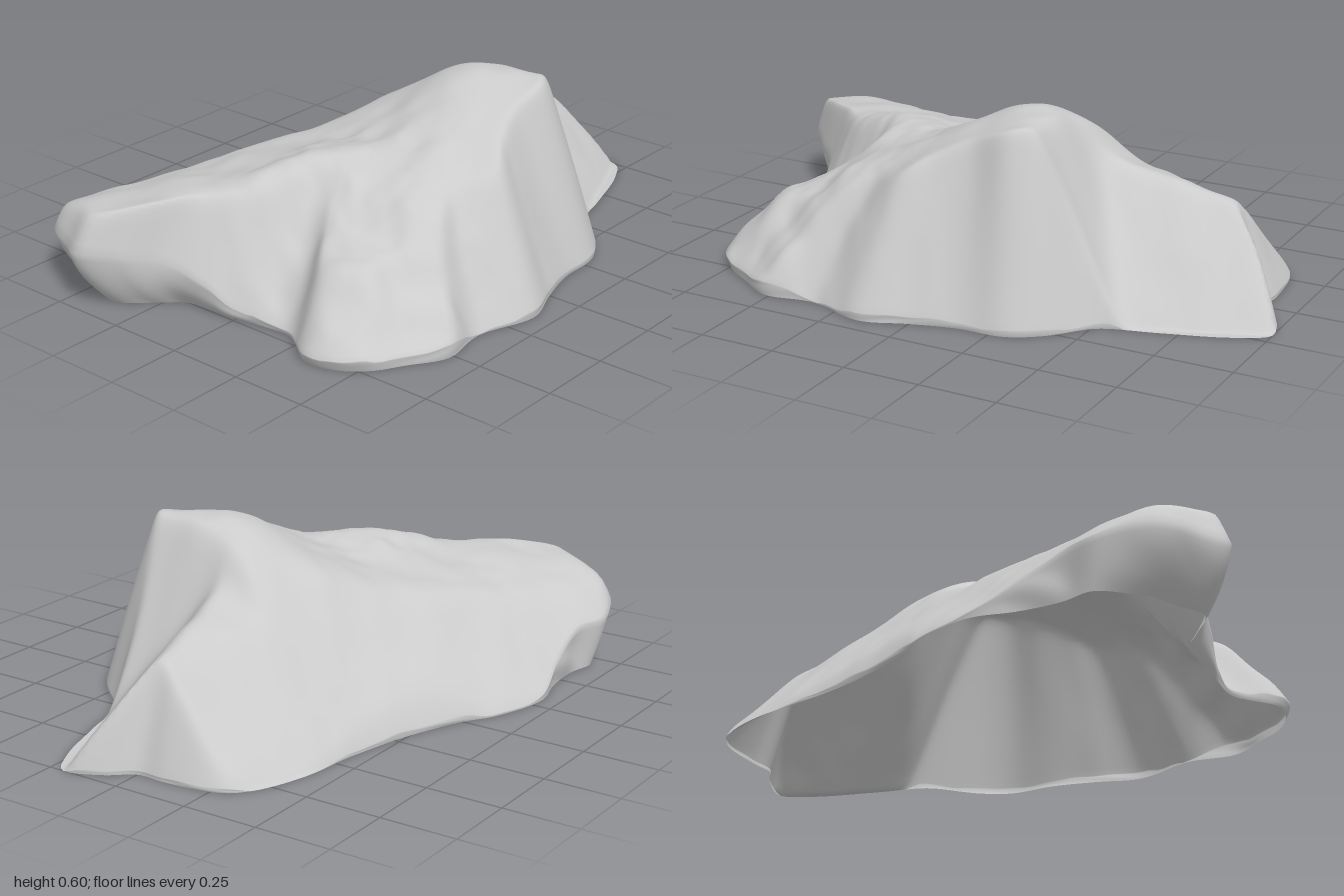
import * as THREE from 'three';

const { lerp, clamp, smoothstep } = THREE.MathUtils;

// Plan outline of the boulder as x, z pairs, counter-clockwise from above
const OUTLINE = [
  1, .2, .96, .08, .9, 0, .9, -.1, .87, -.28, .8, -.35, .65, -.41, .4, -.45, .2, -.5,
  0, -.58, -.1, -.64, -.3, -.695, -.45, -.67, -.6, -.665, -.73, -.695, -.9, -.62,
  -.96, -.5, -1, -.41, -.92, -.3, -.82, -.2, -.77, -.05, -.73, .08, -.72, .2,
  -.82, .36, -.77, .5, -.63, .59, -.52, .655, -.35, .63, -.15, .69, 0, .64,
  .15, .6, .3, .59, .4, .53, .52, .4, .7, .34, .9, .27,
];

// Seeded value noise
const hash = (i, j) => {
  const s = Math.sin(i * 127.1 + j * 311.7 + 4.2) * 43758.5453;
  return (s - Math.floor(s)) * 2 - 1;
};
const fade = (t) => t * t * (3 - 2 * t);
function noise(x, z) {
  const i = Math.floor(x), j = Math.floor(z), u = fade(x - i), v = fade(z - j);
  return lerp(lerp(hash(i, j), hash(i + 1, j), u), lerp(hash(i, j + 1), hash(i + 1, j + 1), u), v);
}

// Blended minimum and maximum, so that neighbouring facets meet in a worn edge
function softMin(values, k) {
  const m = Math.min(...values);
  return m - k * Math.log(values.reduce((s, v) => s + Math.exp((m - v) / k), 0));
}
const softMax = (values, k) => -softMin(values.map((v) => -v), k);

// Side face rising inward from a rim point: steep at the front, lipped at the back left
function border(p, t) {
  const front = smoothstep(p.z, -.35, .15);
  const lip = .02 + .17 * smoothstep(-p.x, .2, .5) * (1 - front);
  const steep = lerp(2.2, clamp(2.45 + 2.2 * p.x, 1.2, 3.3), front);
  return lip + steep * (1 - t) * Math.hypot(p.x, p.z);
}

// Rounded mound centred on x0, z0
const mound = (x, z, x0, z0, wx, wz) => Math.exp(-((x - x0) ** 2) / wx - ((z - z0) ** 2) / wz);

// Height at fraction t of the way to rim point p: the space under sloping facets
function height(p, t) {
  const x = p.x * t, z = p.z * t;
  const shoulder = .48 - .17 * x + .3 * z;
  const hollow = 1.2 * (.6 - .4 * x - z);           // scooped face under the right shoulder
  const peakWall = 2.2 * (.57 - x);                 // wall of the peak beside it
  const leftSlope = softMax([.6 + .45 * x - .25 * z, .53 + .28 * x - .25 * z], .015);
  const facets = [
    .612,                                           // flat summit
    .42 + .27 * z + .14 * mound(x, z, .2, .2, .06, .15), // broad back slope and peak
    .62 - .33 * x + z,                              // steeper back slope to the right
    leftSlope - .08 * mound(x, z, -.65, .15, .05, .03),  // rough left slope with a dip
    softMax([softMin([hollow, shoulder], .02), peakWall], .045),
    border(p, t),
  ];
  const rough = smoothstep(-x, -.05, .4) * smoothstep(z, -.25, .05);
  const relief = (.01 + .018 * rough) * noise(x * 6, z * 6)
    + (.004 + .01 * rough) * noise(x * 13, z * 13 + 5)
    + .003 * rough * noise(x * 27, z * 27);
  return Math.max(0, softMin(facets, .018) + relief);
}

export function createModel() {
  const AROUND = 240, RINGS = 80, SKIRT = 8;
  const points = [];
  for (let i = 0; i < OUTLINE.length; i += 2) points.push(new THREE.Vector3(OUTLINE[i], 0, OUTLINE[i + 1]));
  const rim = new THREE.CatmullRomCurve3(points, true, 'centripetal').getSpacedPoints(AROUND).slice(0, AROUND);

  const positions = [], indices = [];
  // Rings from the middle out to the rim
  for (let r = 0; r <= RINGS; r++) {
    const t = r / RINGS;
    for (const p of rim) positions.push(p.x * t, height(p, t), p.z * t);
  }
  // Sides from the rim to the ground, uneven and undercut most below the left lip
  for (let s = 1; s <= SKIRT; s++) {
    const t = s / SKIRT;
    for (const p of rim) {
      const h = height(p, 1);
      const undercut = h * (.12 + .5 * smoothstep(-p.x, .6, .95)) * t * t
        + .1 * h * Math.sin(Math.PI * t) * noise(p.x * 9 + t, p.z * 9);
      const inset = 1 - undercut / Math.hypot(p.x, p.z);
      positions.push(p.x * inset, h * (1 - t), p.z * inset);
    }
  }
  for (let r = 0; r < RINGS + SKIRT; r++) {
    for (let j = 0; j < AROUND; j++) {
      const k = (j + 1) % AROUND;
      const a = r * AROUND + j, b = r * AROUND + k, c = a + AROUND, d = b + AROUND;
      if (r > 0) indices.push(a, d, b);
      indices.push(a, c, d);
    }
  }
  const geometry = new THREE.BufferGeometry();
  geometry.setAttribute('position', new THREE.Float32BufferAttribute(positions, 3));
  geometry.setIndex(indices);
  geometry.computeVertexNormals();

  // Open-bottomed shell
  const rock = new THREE.Mesh(geometry, new THREE.MeshStandardMaterial({ color: 0xcccccc, side: THREE.DoubleSide }));
  rock.name = 'rock';
  const group = new THREE.Group();
  group.name = 'boulder';
  group.add(rock);
  return group;
}
